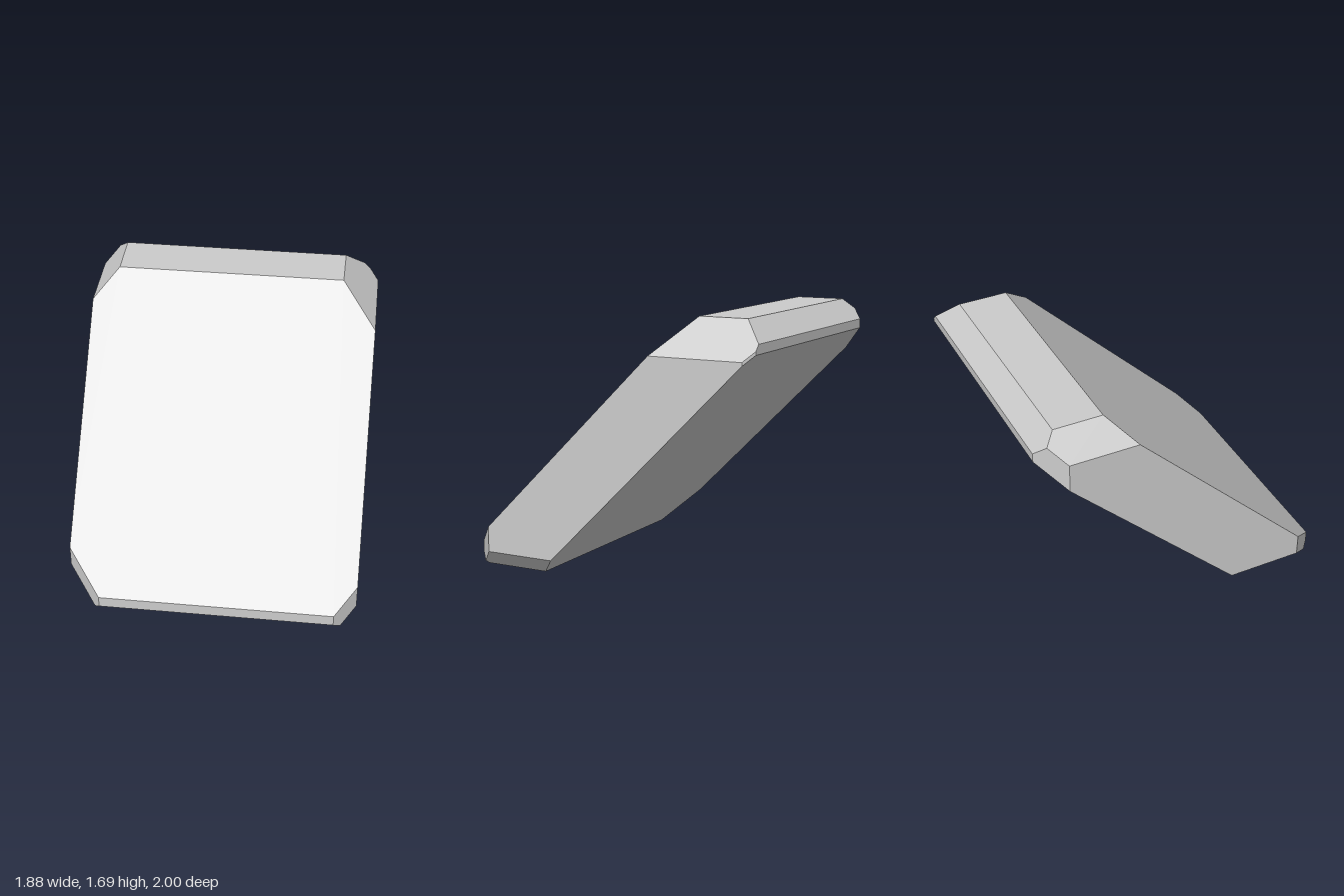
import * as THREE from 'three';
import { ConvexGeometry } from 'three/addons/geometries/ConvexGeometry.js';

// Bounding planes of the slab: [nx, ny, nz, d], solid where n.p <= d
const PLANES = [
  // outer box
  [1, 0, 0, 0.94], [-1, 0, 0, 0.94],
  [0, 1, 0, 1.688], [0, -1, 0, 0],
  [0, 0, 1, 1], [0, 0, -1, 1],
  // large slanted front and back faces
  [0, 1, 1, 1.139], [0, -1, -1, -0.498],
  // bevels of the top back and bottom front edges
  [0, 1, -1, 2.558], [0, -1, 1, 0.938],
  // corner cuts seen from the front
  [1, 1, 0, 2.4], [-1, 1, 0, 2.467], [1, -1, 0, 0.827], [-1, -1, 0, 0.73],
  // corner cuts seen from above
  [1, 0, 1, 1.8], [-1, 0, 1, 1.722], [-1, 0, -1, 1.78], [1, 0, -1, 1.88],
].map(([x, y, z, d]) => ({ n: new THREE.Vector3(x, y, z), d }));

// Corners of the solid: points where three planes meet inside all the others
function solidCorners(planes) {
  const corners = [];
  for (let i = 0; i < planes.length; i++) {
    for (let j = i + 1; j < planes.length; j++) {
      for (let k = j + 1; k < planes.length; k++) {
        const [a, b, c] = [planes[i], planes[j], planes[k]];
        const bc = b.n.clone().cross(c.n);
        const det = a.n.dot(bc);
        if (Math.abs(det) < 1e-6) continue;
        const p = bc.multiplyScalar(a.d)
          .addScaledVector(c.n.clone().cross(a.n), b.d)
          .addScaledVector(a.n.clone().cross(b.n), c.d)
          .divideScalar(det);
        const inside = planes.every(({ n, d }) => n.dot(p) <= d + 1e-6);
        if (inside && !corners.some((q) => q.distanceTo(p) < 1e-4)) corners.push(p);
      }
    }
  }
  return corners;
}

export function createModel() {
  const group = new THREE.Group();
  group.name = 'slantedSlab';
  const slab = new THREE.Mesh(
    new ConvexGeometry(solidCorners(PLANES)),
    new THREE.MeshStandardMaterial({ color: 0xcccccc, flatShading: true }),
  );
  slab.name = 'bevelledSlab';
  group.add(slab);
  return group;
}
